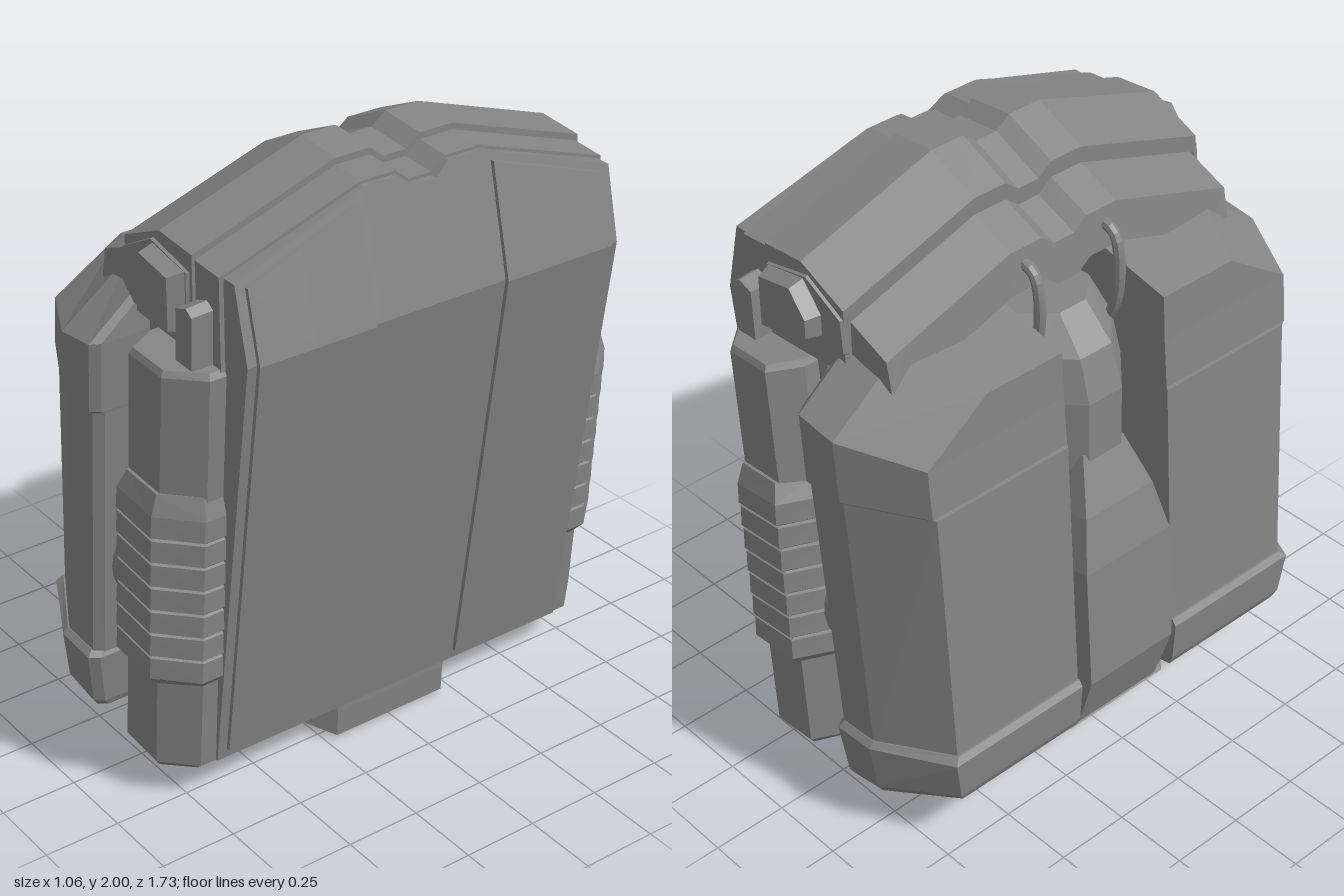
import * as THREE from 'three';

const material = new THREE.MeshStandardMaterial({ color: 0x848484, flatShading: true, side: THREE.DoubleSide });

// Closed solid through rings of [x, y, z] points; m = -1 mirrors it across z.
function loft(name, rings, m = 1) {
  const n = rings[0].length, tris = [];
  const P = rings.map(r => r.map(([x, y, z]) => new THREE.Vector3(x, y, z * m)));
  for (let i = 0; i < P.length - 1; i++) {
    for (let j = 0; j < n; j++) {
      const k = (j + 1) % n;
      tris.push([P[i][j], P[i][k], P[i + 1][k]], [P[i][j], P[i + 1][k], P[i + 1][j]]);
    }
  }
  const cap = (ring, flip) => {
    const c = ring.reduce((s, p) => s.add(p), new THREE.Vector3()).divideScalar(n);
    ring.forEach((p, j) => {
      const q = ring[(j + 1) % n];
      tris.push(flip ? [c, q, p] : [c, p, q]);
    });
  };
  cap(P[0], true);
  cap(P[P.length - 1], false);
  // turn the faces outward
  const volume = tris.reduce((s, [a, b, c]) => s + a.dot(b.clone().cross(c)), 0);
  if (volume < 0) tris.forEach(t => t.reverse());
  const g = new THREE.BufferGeometry().setFromPoints(tris.flat());
  g.computeVertexNormals();
  const mesh = new THREE.Mesh(g, material);
  mesh.name = name;
  return mesh;
}

// Ring on a tilted level from (xl, yl) to (xr, yr); shape = [fraction across, z].
const level = ([xl, yl, xr, yr], shape) =>
  shape.map(([t, z]) => [xl + (xr - xl) * t, yl + (yr - yl) * t, z]);

// Shape that is the same on both sides of z = 0.
const symmetric = half => [...half.map(([t, z]) => [t, -z]), ...half.slice().reverse()];

// Side polygon pushed out from z0 to z1, with the outer face shrunk by s.
function slab(name, pts, z0, z1, s, m) {
  const cx = pts.reduce((a, p) => a + p[0], 0) / pts.length;
  const cy = pts.reduce((a, p) => a + p[1], 0) / pts.length;
  return loft(name, [
    pts.map(([x, y]) => [x, y, z0]),
    pts.map(([x, y]) => [cx + (x - cx) * s, cy + (y - cy) * s, z1]),
  ], m);
}

// Top outline across z: shallow central channel, flat shoulders, sloping sides.
const arch = z => {
  z = Math.abs(z);
  if (z <= 0.04) return -0.038;
  if (z <= 0.09) return -0.038 + (z - 0.04) * 0.76;
  return z <= 0.21 ? 0 : -(z - 0.21) * 0.327;
};
const mirrored = a => [...a.map(z => -z).reverse(), ...a];

// Back surface, bending forward above y = 1.56.
const backX = y => (y < 1.56 ? 0.512 - 0.139 * (1.56 - y) : 0.512 - 0.24 * (y - 1.56));

function backPanel(name, zs, top, bottom, depth, out, m) {
  return loft(name, zs.map(z => {
    const t = top + arch(z), x = y => backX(y) + out;
    return [[x(bottom) - depth, bottom, z], [x(bottom), bottom, z], [x(1.56), 1.56, z],
      [x(t), t, z], [x(t) - depth, t, z], [x(1.56) - depth, 1.56, z]];
  }), m);
}

// Arched hood band; tops = [x, y] along the ridge, lean moves the lower front forward.
function hoodBand(name, tops, w, lean) {
  const stations = [[0.04, 0], [0.09, 0], [0.21, 0], [w - 0.09, 0], [w - 0.07, 1], [w, 1]];
  const ring = ([z, side]) => {
    const up = tops.map(([x, y]) => [x, y + arch(z), z]);
    const low = tops.map(([x, y], i) =>
      [i ? x : x - lean, side ? 1.54 - 0.08 * x : y + arch(z) - 0.13, z]);
    return [...up, ...low.reverse()];
  };
  return loft(name, [...stations.map(([z, s]) => [-z, s]).reverse(), ...stations].map(ring));
}

export function createModel() {
  const model = new THREE.Group();
  model.name = 'backpack';
  const add = (...meshes) => model.add(...meshes);

  // Core and underside
  const core = z => symmetric([[0, z], [1, z]]);
  add(loft('coreBody', [
    level([-0.11, 0.17, 0.28, 0.13], core(0.62)),
    level([-0.09, 0.4, 0.32, 0.36], core(0.64)),
    level([0.01, 1.5, 0.44, 1.5], core(0.64)),
    level([0.03, 1.72, 0.42, 1.74], core(0.6)),
  ]));
  const hull = (a, b) => symmetric([[0, a], [0.3, b], [0.72, b], [1, 0.21]]);
  add(loft('underside', [
    level([-0.38, 0.06, 0.3, 0.008], hull(0.16, 0.25)),
    level([-0.47, 0.15, 0.305, 0.1], hull(0.2, 0.42)),
    level([-0.4, 0.25, 0.305, 0.2], hull(0.2, 0.42)),
    level([-0.2, 0.42, 0.31, 0.36], hull(0.2, 0.42)),
  ]));

  // Back plate
  add(backPanel('backPlate', mirrored([0.04, 0.09, 0.21, 0.64, 0.675]), 1.945, 0.125, 0.08, 0));

  // Hood in three stepped bands
  add(hoodBand('hoodFront', [[-0.2, 1.805], [-0.04, 1.87]], 0.675, 0.02));
  add(hoodBand('hoodMiddle', [[-0.05, 1.92], [0.13, 2], [0.29, 1.985]], 0.7, 0));
  add(hoodBand('hoodRear', [[0.28, 1.965], [0.405, 1.955]], 0.69, 0));

  // Central pod and the column above it
  const podShape = (z, f) => symmetric([[1, z], [0.3, z], [0, z * f]]);
  add(loft('centralPod', [
    [-0.36, 0.06, 0.15], [-0.47, 0.16, 0.18], [-0.53, 0.36, 0.19], [-0.5, 0.78, 0.19],
    [-0.455, 0.95, 0.15], [-0.38, 1.12, 0.09],
  ].map(([x, y, z]) => level([x, y, -0.05, y - 0.03], podShape(z, 0.93)))));
  add(loft('centralColumn', [
    [-0.4, 0.7, 0.19], [-0.385, 1.3, 0.19], [-0.34, 1.44, 0.18], [-0.24, 1.55, 0.15],
  ].map(([x, y, z]) => level([x, y, 0.05, y], podShape(z, 0.35)))));

  for (const m of [1, -1]) {
    // Raised panel on the back plate
    add(backPanel('raisedBackPanel', [0.24, 0.45, 0.643], 1.92, 0.16, 0.03, 0.014, m));

    // Pouch with a bottom flap
    const pouch = zo =>
      [[0, 0.205], [1, 0.205], [1, zo - 0.03], [0.95, zo], [0.6, zo], [0, zo - 0.13]];
    add(loft('pouch', [
      level([-0.5, 0.35, -0.11, 0.31], pouch(0.832)),
      level([-0.44, 1.25, -0.02, 1.23], pouch(0.84)),
      level([-0.436, 1.26, -0.018, 1.24], pouch(0.853)),
      level([-0.42, 1.42, 0, 1.47], pouch(0.853)),
      level([-0.41, 1.57, 0, 1.66], pouch(0.62)),
    ], m));
    add(loft('pouchFlap', [
      level([-0.5, 0.195, -0.13, 0.13], pouch(0.815)),
      level([-0.512, 0.225, -0.12, 0.155], pouch(0.832)),
      level([-0.52, 0.365, -0.1, 0.335], pouch(0.853)),
      level([-0.505, 0.385, -0.11, 0.355], pouch(0.835)),
    ], m));

    // Canister with a ribbed sleeve
    const can = (zo, zs) => [[0, 0.6], [1, 0.6], [1, zs], [0.7, zo], [0.18, zo], [0, zs]];
    add(loft('canister', [
      level([0.02, 0.12, 0.27, 0.095], can(0.81, 0.72)),
      level([-0.003, 0.15, 0.305, 0.125], can(0.83, 0.73)),
      level([0.1, 1.51, 0.41, 1.495], can(0.83, 0.73)),
      level([0.11, 1.53, 0.4, 1.515], can(0.82, 0.725)),
    ], m));
    const sleeve = [level([0.035, 0.45, 0.325, 0.43], can(0.83, 0.73))];
    const ribs = 7;
    for (let i = 0; i < ribs; i++) {
      const y = 0.5 + i * 0.084, x = 0.008 + i * 0.0058;
      sleeve.push(level([x, y, x + 0.348, y - 0.035], can(0.866, 0.75)));
      sleeve.push(level([x + 0.005, y + 0.07, x + 0.35, y + 0.035], can(0.862, 0.745)));
      if (i < ribs - 1) sleeve.push(level([x + 0.012, y + 0.074, x + 0.342, y + 0.039], can(0.85, 0.735)));
    }
    sleeve.push(level([0.08, 1.13, 0.375, 1.11], can(0.84, 0.735)));
    add(loft('ribbedSleeve', sleeve, m));
    add(slab('canisterPost', [[0.28, 1.45], [0.365, 1.45], [0.375, 1.69], [0.345, 1.71], [0.29, 1.69]], 0.66, 0.76, 0.92, m));

    // Hood side cover and block
    add(slab('sideCover', [[-0.06, 1.62], [0.0, 1.565], [0.27, 1.54], [0.28, 1.77], [0.1, 1.81], [-0.05, 1.73]], 0.69, 0.71, 0.97, m));
    add(slab('sideBlock', [[0.035, 1.64], [0.09, 1.605], [0.27, 1.58], [0.27, 1.77], [0.11, 1.8], [0.035, 1.71]], 0.7, 0.76, 0.86, m));

    // Tube and round wheel between pouch and canister
    const rod = new THREE.Mesh(new THREE.CylinderGeometry(0.035, 0.035, 1.22, 10), material);
    rod.name = 'sideTube';
    rod.position.set(0.02, 0.92, 0.66 * m);
    rod.rotation.z = -0.083;
    const wheel = new THREE.Mesh(new THREE.CylinderGeometry(0.17, 0.17, 0.055, 24), material);
    wheel.name = 'sideWheel';
    wheel.position.set(-0.03, 0.68, 0.62 * m);
    wheel.rotation.z = Math.PI / 2 - 0.1;
    add(rod, wheel);

    // Curved hose into the hood
    const path = new THREE.CatmullRomCurve3([
      [-0.2, 1.38], [-0.262, 1.52], [-0.265, 1.68], [-0.24, 1.74], [-0.16, 1.755],
    ].map(([x, y]) => new THREE.Vector3(x, y, 0.16 * m)));
    const hose = new THREE.Mesh(new THREE.TubeGeometry(path, 20, 0.018, 8), material);
    hose.name = 'hose';
    add(hose);

    // Small foot under the body
    const foot = (a, b) => [[0, a], [1, a], [1, b], [0, b]];
    add(loft('foot', [
      level([-0.19, 0.008, -0.08, 0], foot(0.2, 0.24)),
      level([-0.205, 0.03, -0.06, 0.02], foot(0.19, 0.25)),
      level([-0.205, 0.08, -0.06, 0.07], foot(0.19, 0.25)),
    ], m));
  }
  return model;
}
